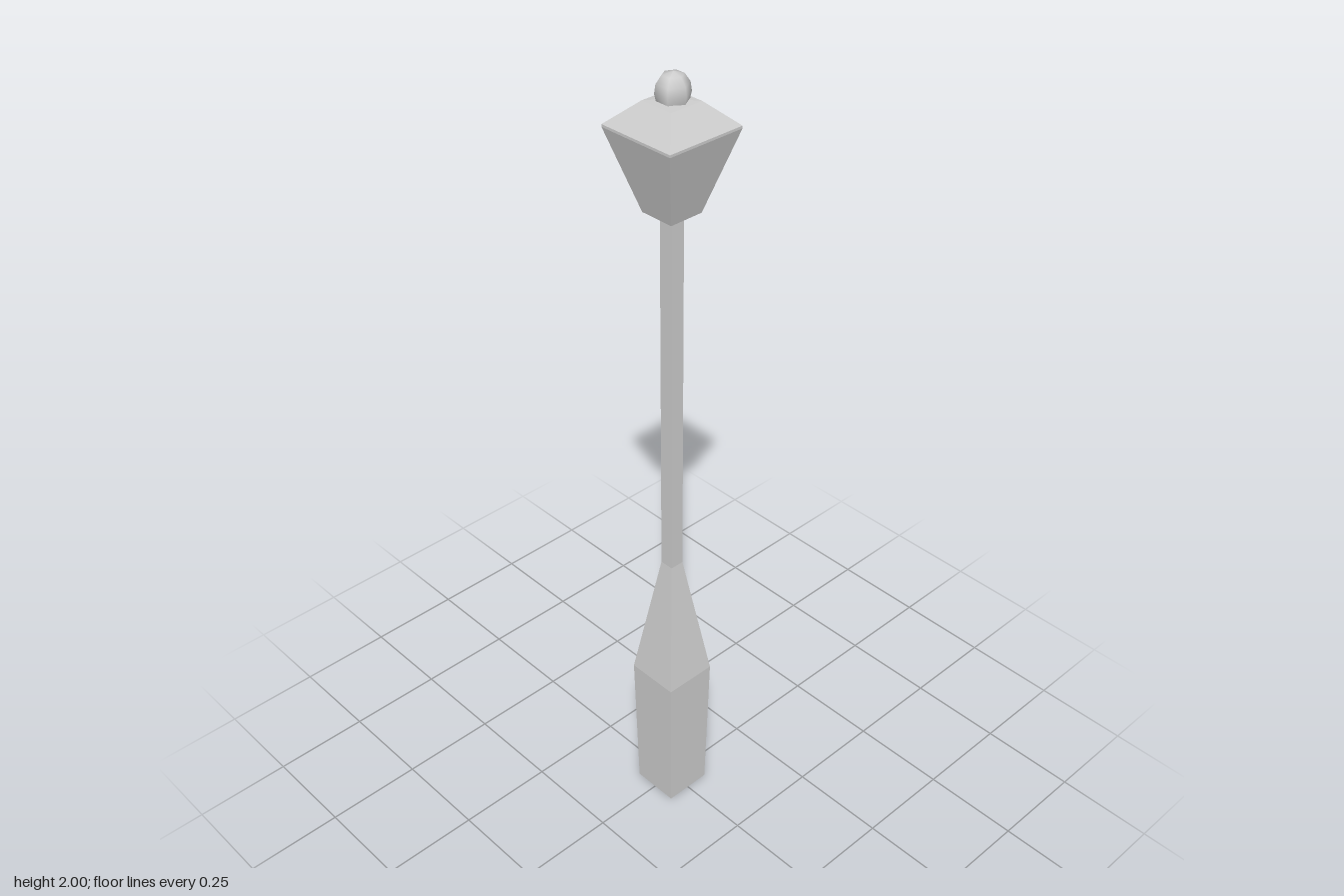
import * as THREE from 'three';

// Revolve [radius, y] points listed from bottom to top
function revolve(name, points, sides, phiStart, material, flat) {
  let geometry = new THREE.LatheGeometry(points.map(([r, y]) => new THREE.Vector2(r, y)), sides, phiStart);
  if (flat) {
    geometry = geometry.toNonIndexed();
    geometry.computeVertexNormals();
  }
  const mesh = new THREE.Mesh(geometry, material);
  mesh.name = name;
  return mesh;
}

// Square section: points give half the side length
function square(name, points, material) {
  return revolve(name, points.map(([h, y]) => [h * Math.SQRT2, y]), 4, Math.PI / 4, material, true);
}

export function createModel() {
  const group = new THREE.Group();
  group.name = 'streetLamp';
  const flat = new THREE.MeshStandardMaterial({ color: 0xcccccc, flatShading: true });
  const smooth = new THREE.MeshStandardMaterial({ color: 0xcccccc });

  // Flared pedestal that tapers into the post
  group.add(square('pedestal', [[0, 0], [0.062, 0], [0.069, 0.4], [0.018, 0.745]], flat));
  group.add(square('post', [[0.018, 0.745], [0.018, 1.69]], flat));

  // Lantern body, widening upwards
  group.add(square('lantern', [[0, 1.69], [0.044, 1.69], [0.101, 1.88]], flat));

  // Sloped roof with a thin eave and flat cap
  group.add(square('roof', [[0.101, 1.88], [0.101, 1.886], [0.043, 1.938], [0, 1.942]], flat));

  // Rounded six-sided finial
  const finial = revolve('finial',
    [[0.035, 1.937], [0.039, 1.955], [0.036, 1.975], [0.024, 1.993], [0, 2]],
    6, Math.PI / 2, smooth, false);
  finial.position.z = -0.003;
  group.add(finial);

  return group;
}
